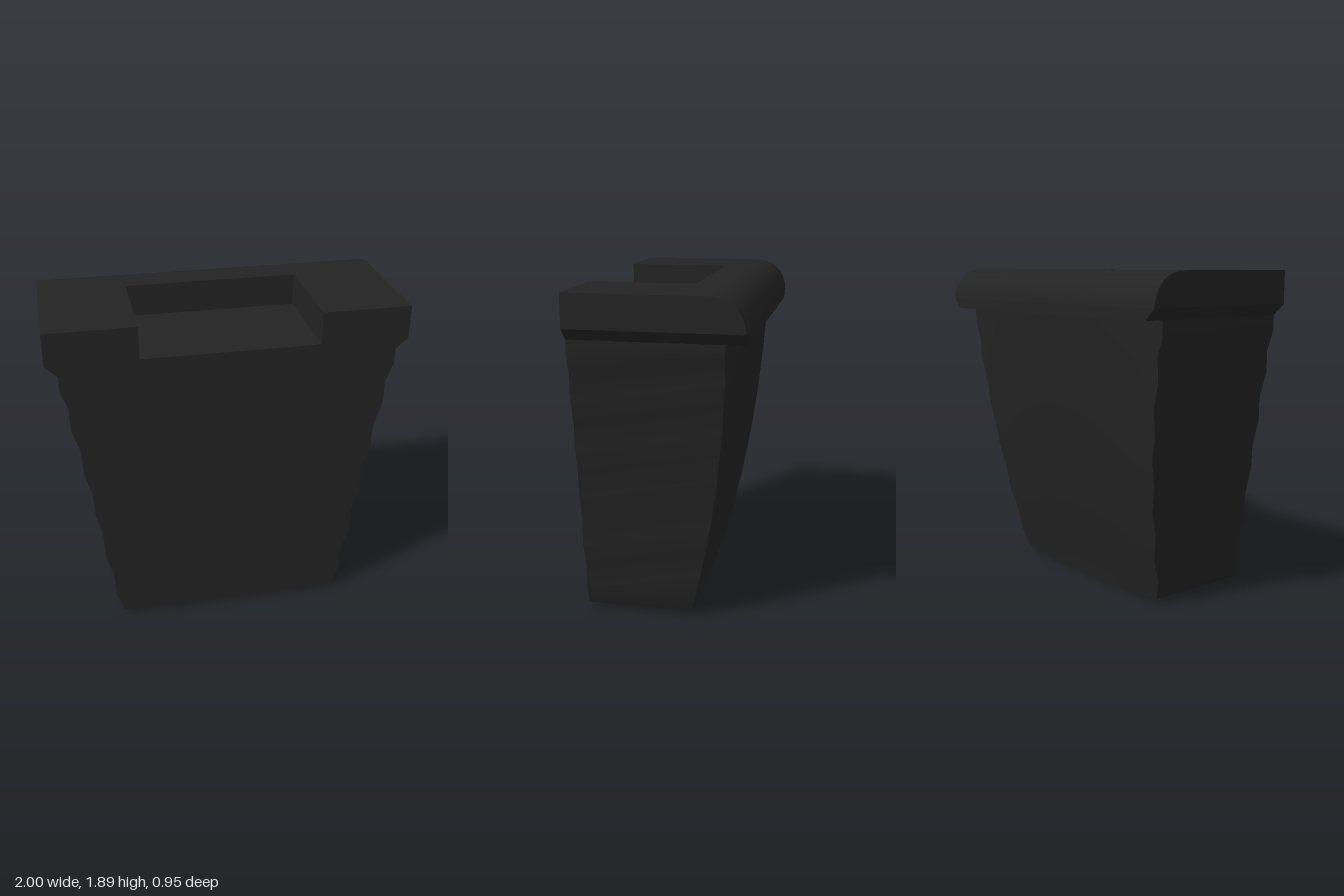
import * as THREE from 'three';
import { toCreasedNormals } from 'three/addons/utils/BufferGeometryUtils.js';

const FRONT = 0.475, BACK = -0.475, TOP = 1.89, LEDGE = 1.705, NECK = 1.64;

// Half width of the rippled body at each height
const RIPPLES = [
  [0.657, 0.03], [0.7, 0.15], [0.7, 0.28], [0.747, 0.43], [0.75, 0.58], [0.79, 0.74], [0.797, 0.88],
  [0.838, 1.03], [0.84, 1.16], [0.888, 1.315], [0.888, 1.44], [0.93, 1.555], [0.93, 1.645],
];

// Body: rippled sides, flat front, back that swells outward toward the top
function bodyGeometry() {
  const n = 12, ring = 2 * (n + 1), pos = [], idx = [];
  RIPPLES.forEach(([w, y], r) => {
    const t = y / NECK;
    for (let j = 0; j < ring; j++) {
      const isBack = j > n;
      const u = ((isBack ? ring - 1 - j : j) / n) * 2 - 1;
      const bow = 1 - u * u;
      const z = isBack ? -0.13 - 0.43 * t + 0.13 * t * t + 0.07 * t * t * (1 - bow) : FRONT;
      const sag = r === 0 ? (isBack ? 0.03 : 0.01) * bow : 0;
      pos.push(w * u, y - sag, z);
    }
  });
  for (let r = 0; r < RIPPLES.length - 1; r++) {
    for (let j = 0; j < ring; j++) {
      const a = r * ring + j, b = r * ring + (j + 1) % ring;
      idx.push(a, b, b + ring, a, b + ring, a + ring);
    }
  }
  // Gently bowed underside
  for (let i = 0; i < n; i++) {
    const back = ring - 1 - i;
    idx.push(i, back, back - 1, i, back - 1, i + 1);
  }
  const g = new THREE.BufferGeometry();
  g.setAttribute('position', new THREE.Float32BufferAttribute(pos, 3));
  g.setIndex(idx);
  return toCreasedNormals(g, 0.5);
}

// Rim section with a rounded back edge, running from x0 to x1
function rimGeometry(x0, x1, front) {
  const s = new THREE.Shape();
  s.moveTo(-front, LEDGE);
  s.lineTo(-BACK, LEDGE);
  s.bezierCurveTo(0.465, 1.82, 0.39, TOP, 0.27, TOP);
  s.lineTo(-front, TOP);
  s.closePath();
  const g = new THREE.ExtrudeGeometry(s, { depth: x1 - x0, bevelEnabled: false, curveSegments: 12 });
  g.rotateY(Math.PI / 2);
  g.translate(x0, 0, 0);
  return toCreasedNormals(g, 0.5);
}

// Slab under the rim with chamfered lower side edges; its top is the recess floor
function ledgeGeometry() {
  const s = new THREE.Shape();
  s.moveTo(-0.93, NECK);
  s.lineTo(0.93, NECK);
  s.lineTo(1, LEDGE);
  s.lineTo(-1, LEDGE);
  s.closePath();
  const g = new THREE.ExtrudeGeometry(s, { depth: FRONT - BACK, bevelEnabled: false });
  g.translate(0, 0, BACK);
  return g;
}

export function createModel() {
  const group = new THREE.Group();
  const black = new THREE.MeshStandardMaterial({ color: 0x232323 });
  black.name = 'black';
  const add = (name, geometry) => {
    const mesh = new THREE.Mesh(geometry, black);
    mesh.name = name;
    group.add(mesh);
  };
  add('body', bodyGeometry());
  add('rimLedge', ledgeGeometry());
  add('rimLeft', rimGeometry(0.5, 1, FRONT));
  add('rimRight', rimGeometry(-1, -0.5, FRONT));
  add('rimBack', rimGeometry(-0.5, 0.5, -0.13));
  return group;
}
